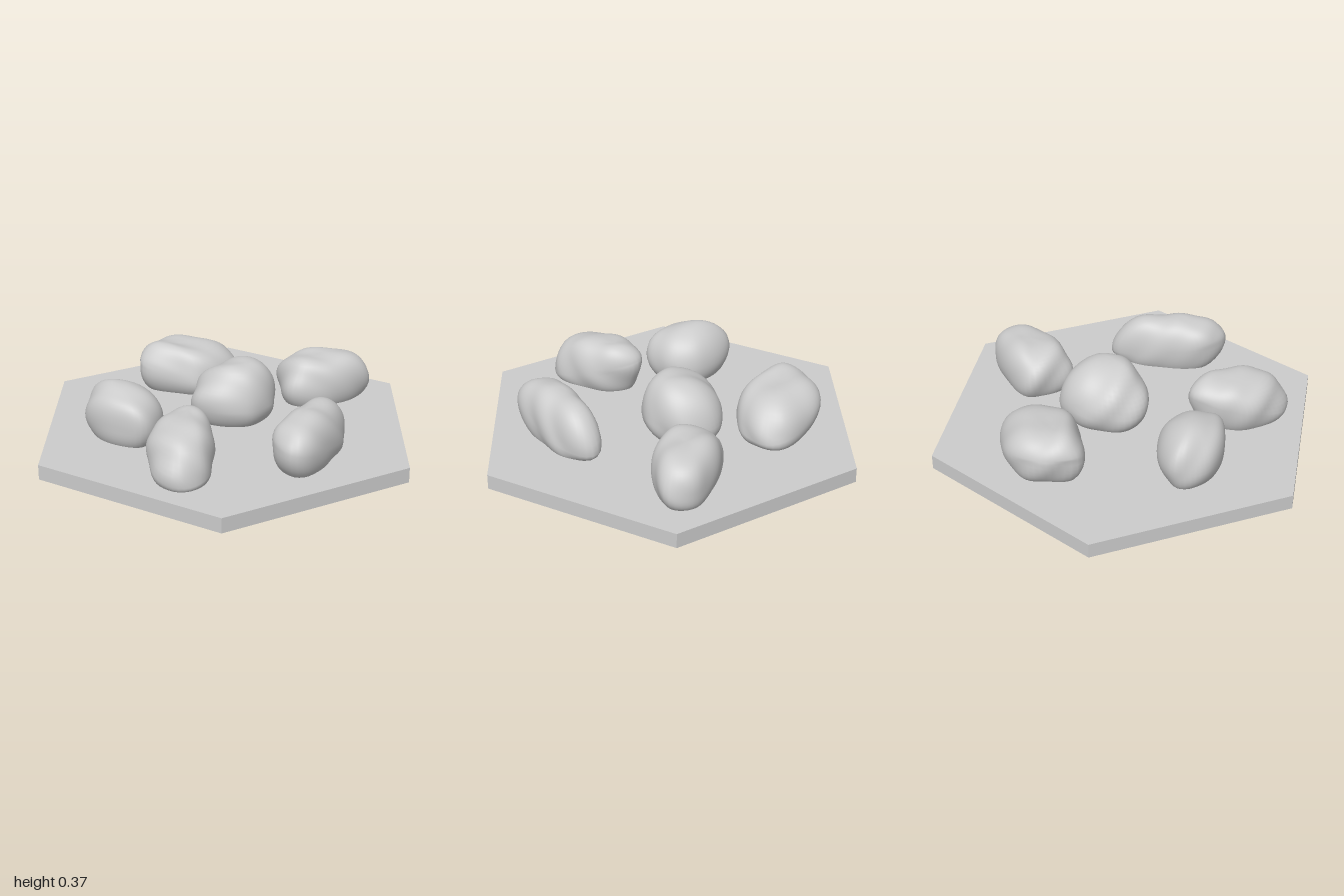
import * as THREE from 'three';
import { mergeVertices } from 'three/addons/utils/BufferGeometryUtils.js';

const material = new THREE.MeshStandardMaterial({ color: 0xcccccc });
const FOOT = 0.015; // rocks are sunk into the tile
const BELLY = 0.165; // height at which a rock is widest

// Shallow dents and lumps
const lump = (x, y, z) =>
  0.007 * (Math.sin(17 * x + 11 * y + 3) * Math.sin(19 * z - 13 * y) +
    0.8 * Math.sin(29 * x - 17 * z + 23 * y));

// A sphere whose rings follow a smooth outline and close at the peak and the foot.
// The belly may slope along x and z; a lower bluntness gives a boxier rock.
function makeRock(name, outline, peak, slopeX = 0, slopeZ = 0, blunt = 0.75) {
  const cols = 48, rows = 28;
  const curve = new THREE.CatmullRomCurve3(
    outline.map(([x, z]) => new THREE.Vector3(x, 0, z)), true, 'centripetal');
  const ring = curve.getSpacedPoints(cols);
  const mid = new THREE.Vector3();
  for (let i = 0; i < cols; i++) mid.addScaledVector(ring[i], 1 / cols);

  let geometry = new THREE.SphereGeometry(1, cols, rows);
  const pos = geometry.attributes.position;
  for (let row = 0; row <= rows; row++) {
    const angle = Math.PI * (0.5 - row / rows);
    const s = Math.sin(angle);
    const c = Math.pow(Math.max(0, Math.cos(angle)), blunt);
    const pole = s > 0 ? peak : mid;
    for (let col = 0; col <= cols; col++) {
      const edge = ring[col % cols];
      const x = pole.x + (edge.x - pole.x) * c;
      const z = pole.z + (edge.z - pole.z) * c;
      const b = BELLY + c * (slopeX * (x - mid.x) + slopeZ * (z - mid.z));
      const y = b + s * (s > 0 ? peak.y - b : b - FOOT);
      const d = lump(x, y, z);
      const swell = 1 + 4 * c * d;
      pos.setXYZ(row * (cols + 1) + col,
        pole.x + (x - pole.x) * swell,
        Math.max(FOOT, y + d * Math.max(0, s)),
        pole.z + (z - pole.z) * swell);
    }
  }
  // Weld the seam and poles for smooth shading
  geometry.deleteAttribute('uv');
  geometry.deleteAttribute('normal');
  geometry = mergeVertices(geometry, 1e-4);
  geometry.computeVertexNormals();
  const mesh = new THREE.Mesh(geometry, material);
  mesh.name = name;
  return mesh;
}

export function createModel() {
  const group = new THREE.Group();
  group.name = 'rockTile';
  const at = (x, y, z) => new THREE.Vector3(x, y, z);

  // Hexagonal tile with corners on the x axis
  const flat = material.clone();
  flat.flatShading = true;
  const tile = new THREE.Mesh(
    new THREE.CylinderGeometry(1, 1, 0.075, 6).rotateY(Math.PI / 6).translate(0, 0.0375, 0), flat);
  tile.name = 'hexagonTile';
  group.add(tile);

  // Six boulders, each outline running left, front, right, back on screen
  group.add(
    makeRock('backRock',
      [[-0.19, -0.58], [-0.05, -0.4], [0.06, -0.33], [0.27, -0.36], [0.35, -0.51], [0.18, -0.7], [0, -0.74]],
      at(-0.04, 0.315, -0.57), -0.16, -0.12),
    makeRock('rightRock',
      [[-0.66, -0.2], [-0.62, -0.02], [-0.5, 0.1], [-0.35, 0], [-0.33, -0.17], [-0.56, -0.34]],
      at(-0.52, 0.335, -0.12)),
    makeRock('frontRightRock',
      [[-0.615, 0.45], [-0.55, 0.57], [-0.43, 0.58], [-0.25, 0.33], [-0.27, 0.15], [-0.34, 0.13], [-0.55, 0.25]],
      at(-0.35, 0.32, 0.27), 0.08, -0.27, 0.7),
    makeRock('leftRock',
      [[0.37, -0.06], [0.39, 0.02], [0.57, 0.1], [0.83, 0.04], [0.83, -0.09], [0.7, -0.18], [0.45, -0.23]],
      at(0.61, 0.312, -0.06), 0, 0, 0.6),
    makeRock('centreRock',
      [[-0.14, -0.02], [0.07, 0.14], [0.24, 0.07], [0.31, -0.09], [0.25, -0.22], [0.11, -0.26], [-0.09, -0.17]],
      at(0.12, 0.37, 0), 0, 0, 0.85),
    makeRock('frontRock',
      [[-0.08, 0.58], [-0.06, 0.72], [0.01, 0.75], [0.17, 0.68], [0.39, 0.49], [0.41, 0.38], [0.34, 0.34], [0.06, 0.45]],
      at(0.12, 0.327, 0.54), -0.2));
  return group;
}
